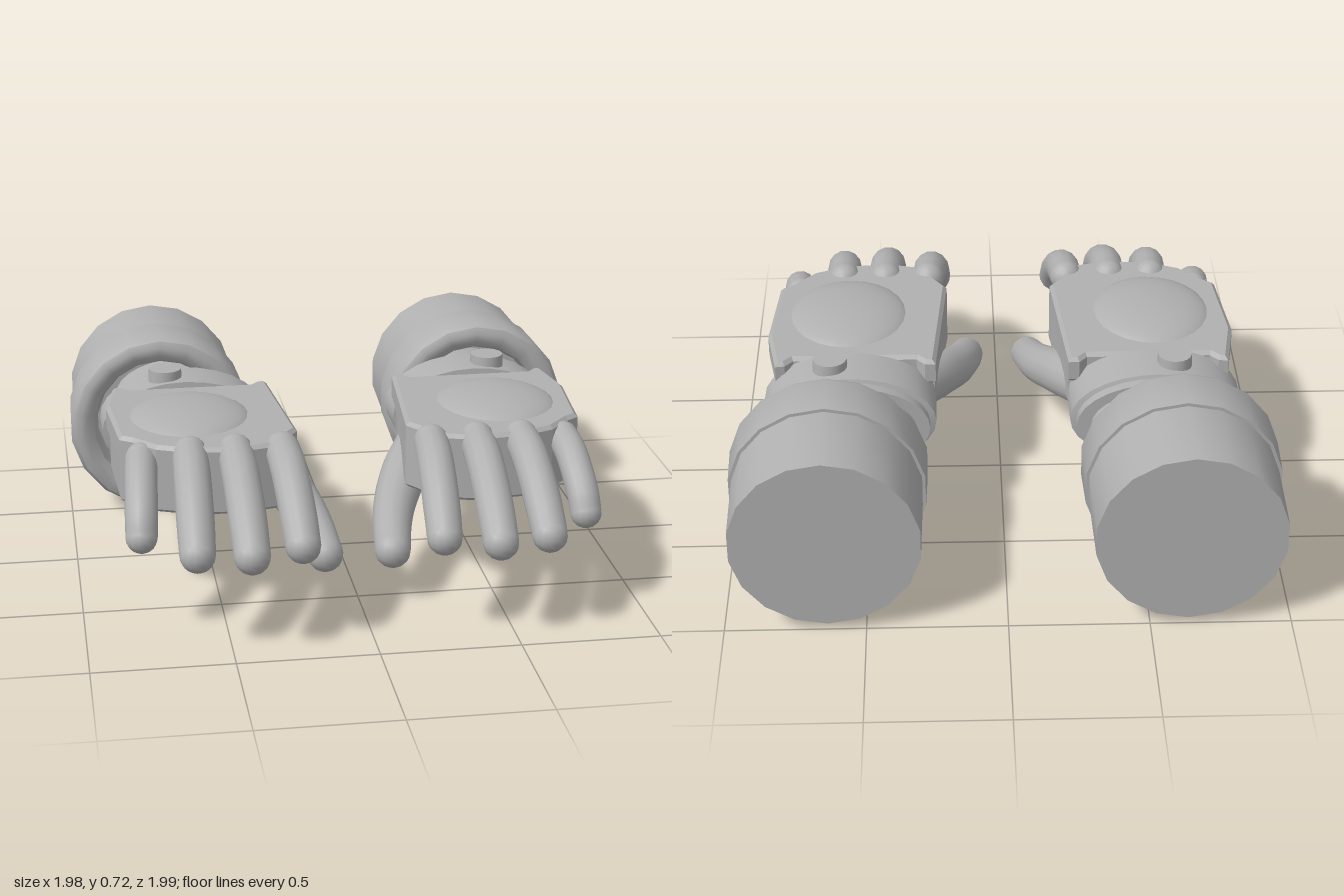
import * as THREE from 'three';
import { toCreasedNormals } from 'three/addons/utils/BufferGeometryUtils.js';

const V = (x, y, z) => new THREE.Vector3(x, y, z);

export function createModel() {
  const model = new THREE.Group();
  model.name = 'pairOfHands';
  const grey = new THREE.MeshStandardMaterial({ color: 0xb0b0b0 });
  grey.name = 'plain grey';

  function add(parent, name, geometry, x = 0, y = 0, z = 0) {
    const mesh = new THREE.Mesh(geometry, grey);
    mesh.name = name;
    mesh.position.set(x, y, z);
    parent.add(mesh);
    return mesh;
  }

  // Turned part around the z axis from [radius, z] pairs, back to front
  function turned(profile, sides, scaleX = 1) {
    const g = new THREE.LatheGeometry(profile.map(p => new THREE.Vector2(p[0], p[1])), sides);
    g.rotateX(Math.PI / 2).scale(scaleX, 1, 1);
    return toCreasedNormals(g, 0.6);
  }

  // Bent tapering digit with rounded ends; path holds [x, y, z, radius]
  function digit(parent, name, side, path) {
    const group = new THREE.Group();
    group.name = name;
    parent.add(group);
    const pts = path.map(p => V(side * p[0], p[1], p[2]));
    const curve = new THREE.CatmullRomCurve3(pts);
    const steps = 18, sides = 14;
    const g = new THREE.TubeGeometry(curve, steps, 1, sides);
    const pos = g.attributes.position;
    for (let i = 0; i <= steps; i++) {
      const c = curve.getPointAt(i / steps);
      const f = (i / steps) * (path.length - 1);
      const k = Math.min(Math.floor(f), path.length - 2);
      const r = THREE.MathUtils.lerp(path[k][3], path[k + 1][3], f - k);
      for (let j = 0; j <= sides; j++) {
        const n = i * (sides + 1) + j;
        const p = V().fromBufferAttribute(pos, n).sub(c).multiplyScalar(r).add(c);
        pos.setXYZ(n, p.x, p.y, p.z);
      }
    }
    add(group, name + 'Shaft', g);
    for (const [label, i] of [['Root', 0], ['Tip', path.length - 1]]) {
      add(group, name + label, new THREE.SphereGeometry(path[i][3], 14, 10), ...pts[i].toArray());
    }
  }

  // Slab standing on y = bottom with a chamfered edge; outline holds [x, z]
  function slab(side, outline, bottom, top, bevel) {
    const shape = new THREE.Shape(outline.map(p => new THREE.Vector2(side * p[0], -p[1])));
    const g = new THREE.ExtrudeGeometry(shape, {
      depth: top - bottom - 2 * bevel, bevelEnabled: true, bevelSegments: 1,
      bevelSize: bevel, bevelThickness: bevel, bevelOffset: -bevel,
    });
    return g.rotateX(-Math.PI / 2).translate(0, bottom + bevel, 0);
  }

  for (const side of [1, -1]) {
    const hand = new THREE.Group();
    hand.name = side > 0 ? 'leftHand' : 'rightHand';
    model.add(hand);

    // Forearm sleeve: closed back, raised band, rounded rim and recess
    add(hand, 'sleeve', turned([
      [0, -1], [0.337, -1], [0.343, -0.68], [0.355, -0.68], [0.361, -0.5],
      [0.345, -0.468], [0.32, -0.455], [0.29, -0.458], [0.265, -0.475],
      [0.252, -0.51], [0.25, -0.6], [0, -0.6],
    ], 18), side * 0.635, 0.36, 0);

    // Oval wrist with stepped collar
    add(hand, 'wrist', turned([
      [0.142, -0.62], [0.142, -0.4], [0.172, -0.4], [0.172, -0.36], [0.185, -0.355],
      [0.185, -0.175], [0.15, -0.17], [0.145, -0.1], [0, -0.1],
    ], 28, 1.72), side * 0.563, 0.445, 0);
    add(hand, 'wristButton', toCreasedNormals(
      new THREE.CylinderGeometry(0.062, 0.065, 0.06, 18), 0.6), side * 0.63, 0.632, -0.26);

    // Palm, with the upper plate reaching back over the wrist
    const front = [[0.86, 0.0], [0.843, 0.35], [0.8, 0.38], [0.72, 0.47], [0.6, 0.52],
      [0.43, 0.535], [0.29, 0.5], [0.235, 0.4], [0.2, 0.35]];
    add(hand, 'palm', slab(side, [[0.25, -0.12], [0.84, -0.12], ...front], 0.36, 0.54, 0.012));
    add(hand, 'backPlate', slab(side, [[0.245, -0.21], [0.285, -0.21], [0.315, -0.175],
      [0.77, -0.175], [0.8, -0.21], [0.835, -0.215], [0.872, 0.0], ...front.slice(1)], 0.51, 0.612, 0.014));

    // Low domes on the back of the hand and under the palm
    const dome = new THREE.SphereGeometry(1, 24, 16);
    add(hand, 'backDome', dome, side * 0.575, 0.585, 0.145).scale.set(0.235, 0.07, 0.27);
    add(hand, 'palmPad', dome, side * 0.57, 0.37, 0.08).scale.set(0.27, 0.08, 0.27);

    // Fingers: root x, tip x, root z, tip z, radius
    const fingers = [
      ['indexFinger', 0.27, 0.248, 0.47, 0.86, 0.066],
      ['middleFinger', 0.438, 0.432, 0.47, 0.93, 0.067],
      ['ringFinger', 0.6, 0.615, 0.47, 0.89, 0.066],
    ];
    for (const [name, x0, x1, z0, z1, r] of fingers) {
      const at = (t, y, k) => [x0 + (x1 - x0) * t, y, z0 + (z1 - z0) * t, r * k];
      digit(hand, name, side, [at(0, 0.578, 0.95), at(0.3, 0.552, 1), at(0.62, 0.485, 1),
        at(0.87, 0.41, 1), at(1, 0.362, 0.95)]);
    }
    digit(hand, 'littleFinger', side, [[0.77, 0.55, 0.42, 0.058], [0.778, 0.525, 0.51, 0.058],
      [0.785, 0.465, 0.61, 0.058], [0.79, 0.41, 0.67, 0.058], [0.793, 0.36, 0.7, 0.056]]);

    // Thumb
    digit(hand, 'thumb', side, [[0.33, 0.39, -0.04, 0.09], [0.245, 0.345, 0.12, 0.09],
      [0.17, 0.275, 0.3, 0.083], [0.14, 0.23, 0.42, 0.073], [0.124, 0.187, 0.53, 0.066]]);
  }
  return model;
}
